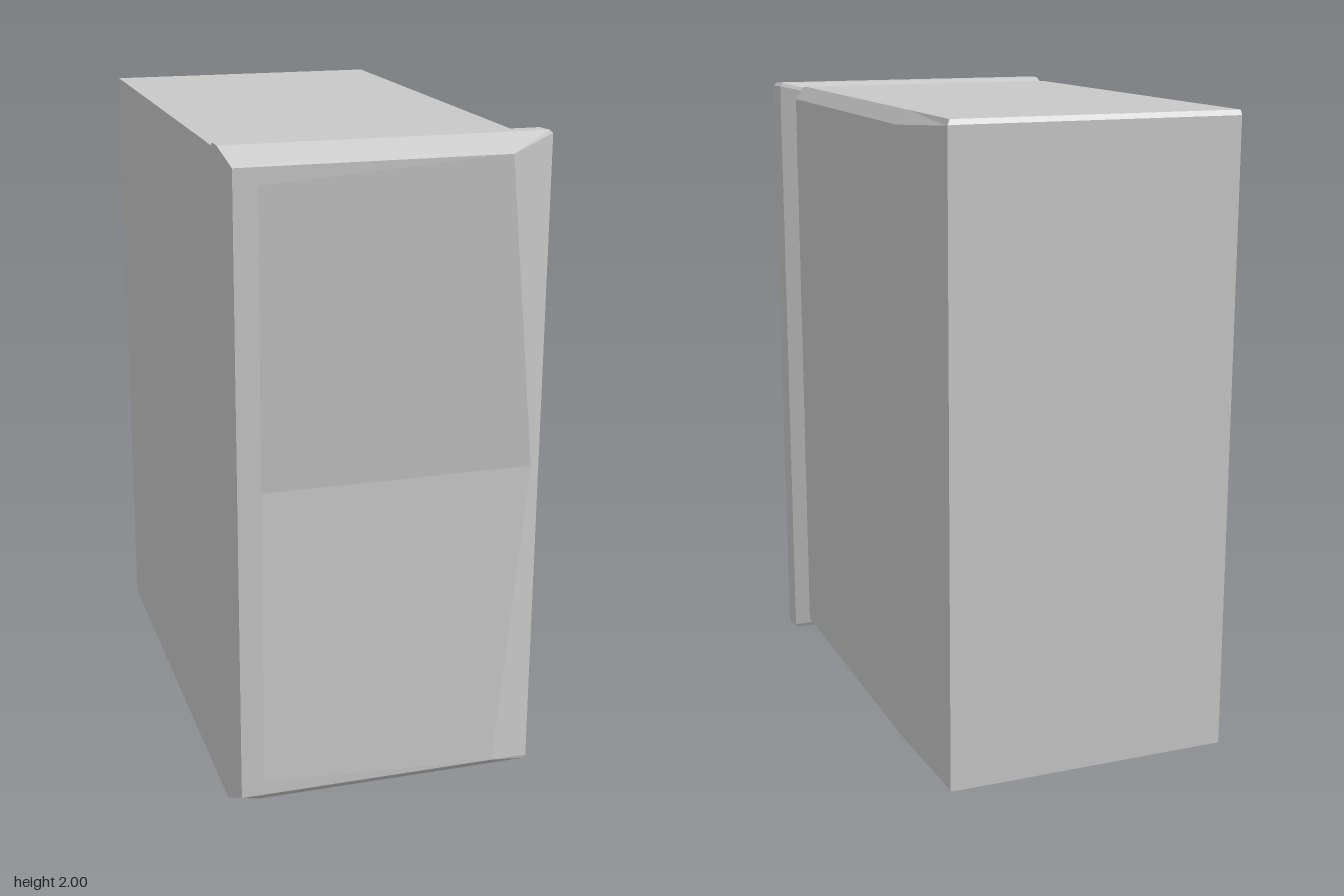
import * as THREE from 'three';

// Faceted geometry from triangles given as corner triples
function facets(tris) {
  const g = new THREE.BufferGeometry();
  g.setAttribute('position', new THREE.Float32BufferAttribute(tris.flat(2), 3));
  g.computeVertexNormals(); // unshared corners keep every facet flat
  return g;
}

// Flat polygon as a triangle fan, counter-clockwise from outside
function fan(p) {
  const out = [];
  for (let i = 1; i < p.length - 1; i++) out.push([p[0], p[i], p[i + 1]]);
  return out;
}

// Skin between cross-sections ordered back to front
function loft(rings) {
  const out = [];
  for (let r = 0; r < rings.length - 1; r++) {
    const A = rings[r], B = rings[r + 1], n = A.length;
    for (let i = 0; i < n; i++) {
      const j = (i + 1) % n;
      out.push([A[i], A[j], B[j]], [A[i], B[j], B[i]]);
    }
  }
  return out;
}

export function createModel() {
  const grey = new THREE.MeshStandardMaterial({ color: 0xc8c8c8 });
  grey.name = 'plainGrey';
  const group = new THREE.Group();
  const add = (name, tris) => {
    const mesh = new THREE.Mesh(facets(tris), grey);
    mesh.name = name;
    group.add(mesh);
  };
  const L = -0.485;

  // Cabinet body: one side is bevelled and narrows to the back
  const section = (z, bottom, top, inner, outer, low, high) => [
    [L, bottom, z], [inner, bottom, z], [outer, low, z],
    [outer, high, z], [inner, top, z], [L, top, z],
  ];
  const body = [
    section(-0.8, 0.03, 1.975, 0.405, 0.41, 0.034, 1.974),
    section(-0.79, 0.03, 1.99, 0.4, 0.411, 0.035, 1.973),
    section(-0.46, 0.027, 1.99, 0.4, 0.44, 0.055, 1.95),
    section(0.61, 0.018, 1.99, 0.4, 0.44, 0.055, 1.95),
    section(0.65, 0.018, 1.988, 0.4, 0.402, 0.02, 1.985),
  ];
  add('body', [...loft(body), ...fan([...body[0]].reverse()), ...fan(body[4])]);

  // Front door: bevelled rim
  const rim = (z, right, inset) => [
    [L, 0.02, z], [-0.39, inset, z], [right - 0.01, inset, z], [right, inset + 0.01, z],
    [right, 1, z], [right, 1.99 - inset, z], [right - 0.01, 2 - inset, z], [L, 2 - inset, z],
  ];
  const F = 0.8, mid = 0.743, x0 = -0.39;
  const edge = [
    [-0.46, 0.055, F], [x0, 0.055, F], [0.34, 0.055, F], [0.34, 0.055, F],
    [0.455, 1, mid], [0.34, 1.95, F], [0.34, 1.95, F], [-0.46, 1.95, F],
  ];
  const door = [rim(0.645, 0.41, 0.015), rim(0.68, 0.475, 0), rim(0.73, 0.485, 0), edge];
  add('door', [...loft(door), ...fan([...door[0]].reverse())]);

  // Flat margins around the folded face
  const low = [x0, 0.1, F], high = [x0, 1.9, F], fold = [x0, 1, mid];
  add('doorMargin', [
    ...fan([edge[0], edge[1], [x0, 1.95, F], edge[7]]),
    [edge[1], edge[2], low],
    [high, edge[5], [x0, 1.95, F]],
  ]);

  // Door face folded inward at mid height, with its side wall
  add('doorRecess', [
    [low, edge[2], edge[4]], [low, edge[4], fold],
    [fold, edge[4], high], [high, edge[4], edge[5]],
    [low, fold, high],
  ]);
  return group;
}
